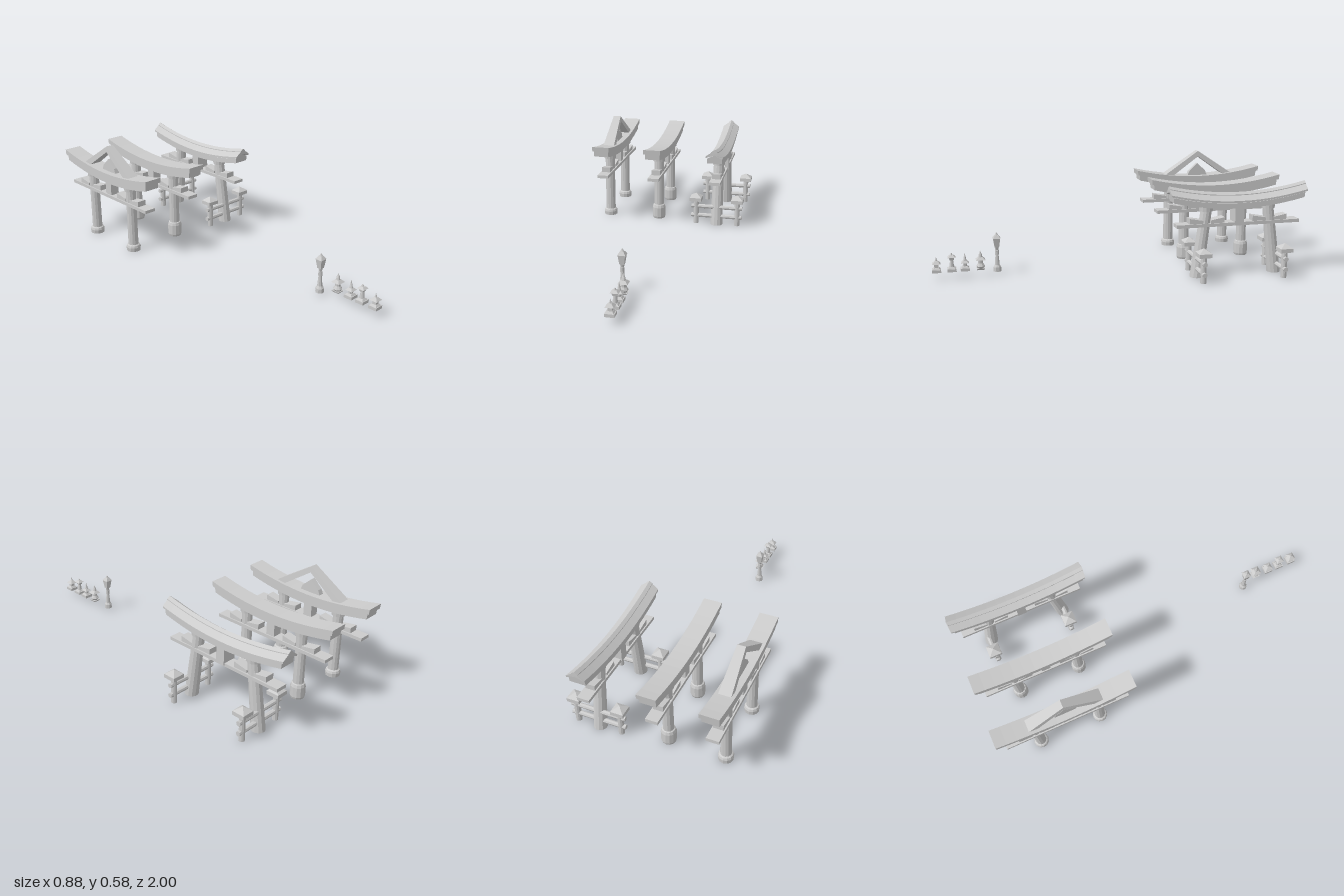
import * as THREE from 'three';

const mat = new THREE.MeshStandardMaterial({ color: 0xcccccc, flatShading: true });
const MID = -0.615, HALF = 0.386, RISE = 0.047;

function add(parent, name, geo, x = 0, y = 0, z = 0) {
  const m = new THREE.Mesh(geo, mat);
  m.name = name;
  m.position.set(x, y, z);
  parent.add(m);
  return m;
}

function box(parent, name, w, y0, y1, d, x = 0, z = 0) {
  return add(parent, name, new THREE.BoxGeometry(w, y1 - y0, d), x, (y0 + y1) / 2, z);
}

// upright tapered prism; r is the half width across the flats for four sides
function prism(parent, name, sides, y0, y1, r0, r1, x = 0, z = 0) {
  const k = sides === 4 ? Math.SQRT2 : 1;
  const g = new THREE.CylinderGeometry(r1 * k, r0 * k, y1 - y0, sides);
  g.rotateY(Math.PI / sides);
  return add(parent, name, g, x, (y0 + y1) / 2, z);
}

function lathe(parent, name, profile, sides, x = 0, z = 0) {
  return add(parent, name, new THREE.LatheGeometry(profile.map(p => new THREE.Vector2(...p)), sides), x, 0, z);
}

// extrude a profile along z, curving upward towards both ends
function curvedBeam(parent, name, profile, half) {
  const shape = new THREE.Shape(profile.map(p => new THREE.Vector2(...p)));
  const g = new THREE.ExtrudeGeometry(shape, { depth: 2 * half, steps: 14, bevelEnabled: false });
  g.translate(0, 0, -half);
  const p = g.attributes.position;
  for (let i = 0; i < p.count; i++) {
    const t = p.getZ(i) / HALF;
    p.setY(i, p.getY(i) + RISE * t * t);
    // ends lean outward towards the top
    p.setZ(i, p.getZ(i) * (1 + 0.3 * (Math.min(p.getY(i), 0.48) - 0.48)));
  }
  g.computeVertexNormals();
  return add(parent, name, g);
}

// extrude a side outline given as [z, y] pairs across the width in x
function sidePanel(parent, name, outline, width) {
  const g = new THREE.ExtrudeGeometry(new THREE.Shape(outline.map(p => new THREE.Vector2(...p))),
    { depth: width, bevelEnabled: false });
  g.translate(0, 0, -width / 2);
  g.rotateY(-Math.PI / 2);
  return add(parent, name, g);
}

const rect = (w, y0, y1) => [[-w, y0], [w, y0], [w, y1], [-w, y1]];

// tie beam, wedges, central strut and pillar caps shared by every gate
function gateFrame(name, x, strutWidth) {
  const g = new THREE.Group();
  g.name = name;
  g.position.set(x, 0, MID);
  box(g, 'tieBeam', 0.066, 0.279, 0.297, 0.696);
  box(g, 'centralStrut', strutWidth, 0.285, 0.385, 0.05);
  for (const s of [-1, 1]) {
    prism(g, 'pillarCap', 12, 0.362, 0.384, 0.036, 0.037, 0, s * 0.178);
    for (const d of [-1, 1]) {
      const a = s * 0.178 + d * 0.02, b = s * 0.178 + d * 0.098;
      const outline = [[a, 0.297], [b, 0.297], [b, 0.327], [a, 0.313]];
      sidePanel(g, 'wedge', d > 0 ? outline : outline.reverse(), 0.052);
    }
  }
  return g;
}

function flatRoof(g) {
  curvedBeam(g, 'roofSlab', rect(0.05, 0.405, 0.433), HALF);
  curvedBeam(g, 'lintel', rect(0.043, 0.374, 0.405), 0.376);
}

function gableGate() {
  const g = gateFrame('gateWithGable', -0.39, 0.052);
  flatRoof(g);
  for (const s of [-1, 1]) {
    prism(g, 'pillar', 12, 0.02, 0.366, 0.029, 0.028, 0, s * 0.178);
    lathe(g, 'pillarBase', [[0, 0], [0.039, 0], [0.041, 0.022], [0.037, 0.034], [0.029, 0.039], [0, 0.039]], 12, 0, s * 0.178);
  }
  // raised gable, narrowing towards its peak
  const gable = sidePanel(g, 'gable', [[-0.23, 0.43], [-0.17, 0.43], [0, 0.55], [0.17, 0.43], [0.23, 0.43], [0, 0.583]], 2);
  const p = gable.geometry.attributes.position;
  for (let i = 0; i < p.count; i++) {
    const k = (p.getY(i) - 0.43) / 0.153;
    p.setX(i, Math.sign(p.getX(i)) * (0.034 - 0.012 * k));
  }
  gable.geometry.computeVertexNormals();
  sidePanel(g, 'gableOrnament', [[-0.065, 0.425], [0.065, 0.425], [0.05, 0.46], [0, 0.507], [-0.05, 0.46]], 0.03);
  return g;
}

function plainGate() {
  const g = gateFrame('plainGate', -0.082, 0.054);
  flatRoof(g);
  for (const s of [-1, 1]) {
    prism(g, 'pillar', 12, 0.06, 0.366, 0.029, 0.028, 0, s * 0.178);
    lathe(g, 'pillarSleeve', [[0, 0], [0.036, 0], [0.04, 0.012], [0.04, 0.068], [0.035, 0.084], [0.029, 0.087], [0, 0.087]], 12, 0, s * 0.178);
  }
  return g;
}

function ridgedGate() {
  const g = gateFrame('ridgedGate', 0.283, 0.077);
  curvedBeam(g, 'pitchedRoof', [[-0.05, 0.406], [0, 0.424], [0.05, 0.406], [0.05, 0.416], [0, 0.452], [-0.05, 0.416]], HALF);
  curvedBeam(g, 'lintel', [[-0.043, 0.374], [0.043, 0.374], [0.043, 0.403], [0, 0.424], [-0.043, 0.403]], 0.376);
  curvedBeam(g, 'ridgeCap', [[-0.017, 0.432], [0.017, 0.432], [0.017, 0.444], [0, 0.456], [-0.017, 0.444]], HALF);
  for (const s of [-1, 1]) {
    // pillars lean towards the middle of the gate
    const pillar = prism(g, 'leaningPillar', 12, 0, 0.375, 0.037, 0.03, 0, s * 0.2);
    const p = pillar.geometry.attributes.position;
    for (let i = 0; i < p.count; i++) p.setZ(i, p.getZ(i) - s * 0.13 * p.getY(i));
    // side fence
    const z = s * 0.228;
    for (const y of [0.05, 0.107]) {
      const rail = new THREE.CylinderGeometry(0.013, 0.013, 0.306, 8);
      rail.rotateZ(Math.PI / 2);
      add(g, 'fenceRail', rail, 0, y, z);
    }
    for (const x of [-0.124, 0.124]) {
      prism(g, 'fencePost', 10, 0, 0.15, 0.016, 0.016, x, z);
      box(g, 'postCap', 0.07, 0.145, 0.166, 0.07, x, z);
      prism(g, 'postCapTop', 4, 0.166, 0.19, 0.035, 0.001, x, z);
    }
  }
  return g;
}

// stack of prisms: [part, sides, bottom, top, bottom half width, top half width]
function lantern(name, x, z, parts) {
  const g = new THREE.Group();
  g.name = name;
  g.position.set(x, 0, z);
  for (const p of parts) prism(g, ...p);
  return g;
}

export function createModel() {
  const root = new THREE.Group();
  root.name = 'shrineGatesAndLanterns';
  root.add(gableGate(), plainGate(), ridgedGate());

  const base = ['base', 4, 0.037, 0.053, 0.024, 0.024];
  const foot = ['foot', 4, 0.053, 0.062, 0.02, 0.013];
  root.add(
    lantern('lowLantern', 0.002, 0.976, [base, foot,
      ['body', 4, 0.062, 0.083, 0.011, 0.011], ['roof', 4, 0.083, 0.099, 0.022, 0.007],
      ['finial', 8, 0.099, 0.12, 0.006, 0.001]]),
    lantern('pillarLantern', 0.002, 0.895, [base, foot,
      ['shaft', 8, 0.062, 0.1, 0.013, 0.009], ['lightBox', 4, 0.1, 0.115, 0.011, 0.014],
      ['roof', 4, 0.115, 0.126, 0.021, 0.009], ['finial', 8, 0.126, 0.137, 0.007, 0.003]]),
    lantern('spireLantern', 0.002, 0.825, [base, foot,
      ['body', 8, 0.062, 0.08, 0.012, 0.013], ['roof', 4, 0.08, 0.092, 0.021, 0.009],
      ['neck', 8, 0.092, 0.106, 0.01, 0.006], ['spire', 8, 0.106, 0.131, 0.007, 0.001]]),
    lantern('roundLantern', 0.002, 0.742, [
      ['base', 4, 0.037, 0.046, 0.018, 0.022], ['bodyLower', 8, 0.046, 0.056, 0.018, 0.024],
      ['bodyUpper', 8, 0.056, 0.072, 0.024, 0.014], ['lightBox', 8, 0.072, 0.092, 0.014, 0.014],
      ['roof', 4, 0.092, 0.106, 0.025, 0.011], ['upperRoof', 8, 0.106, 0.12, 0.012, 0.008],
      ['finial', 8, 0.12, 0.14, 0.009, 0.001]]),
    lantern('tallLantern', -0.028, 0.65, [
      ['base', 8, 0.012, 0.036, 0.023, 0.022], ['foot', 8, 0.036, 0.048, 0.021, 0.014],
      ['shaft', 8, 0.048, 0.105, 0.014, 0.009], ['collar', 8, 0.105, 0.131, 0.011, 0.011],
      ['neck', 8, 0.131, 0.148, 0.008, 0.012], ['lightBox', 4, 0.148, 0.198, 0.012, 0.019],
      ['roof', 4, 0.198, 0.215, 0.021, 0.009], ['finial', 8, 0.215, 0.228, 0.009, 0.003]])
  );
  return root;
}
